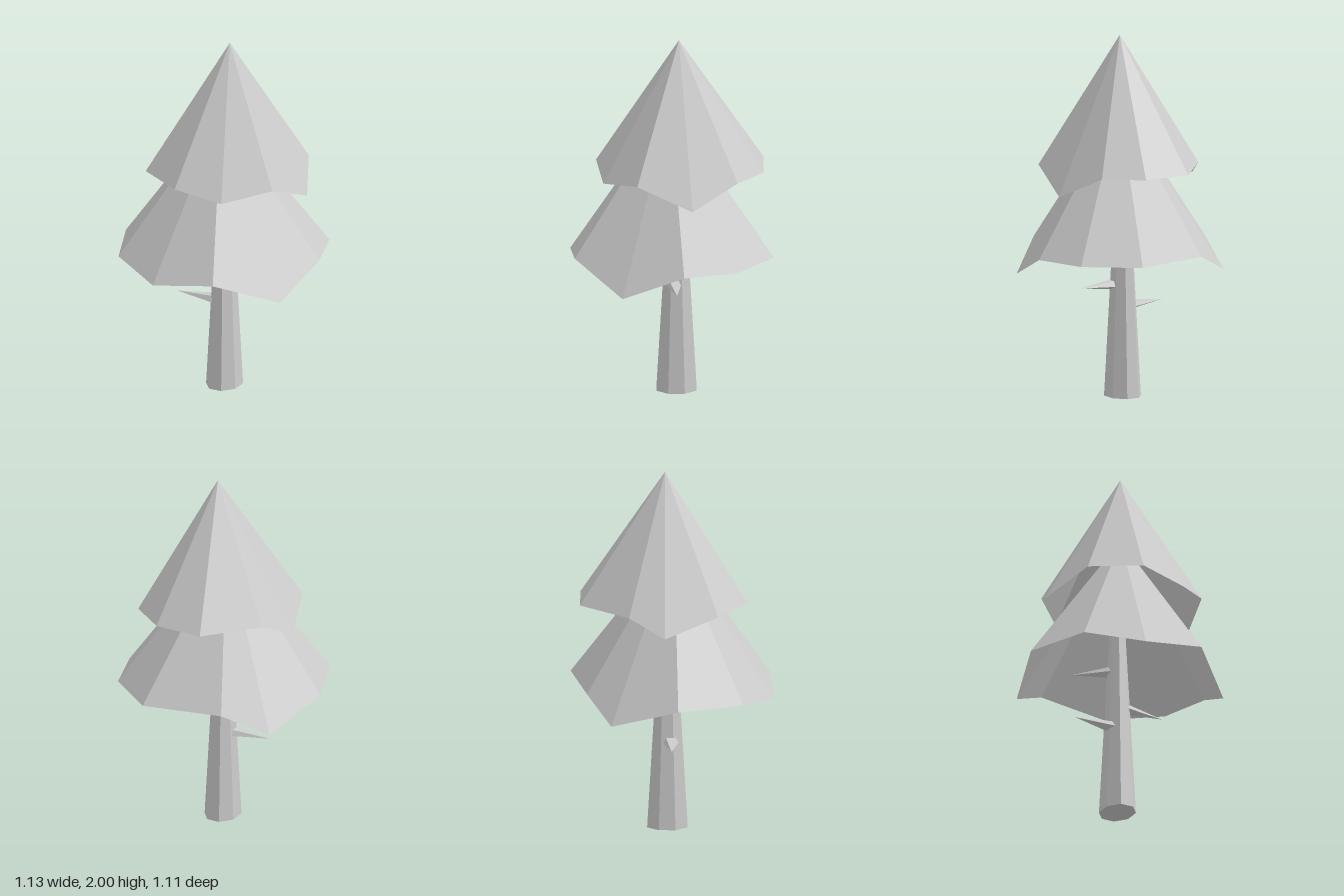
import * as THREE from 'three';

const material = new THREE.MeshStandardMaterial({ color: 0xcccccc, flatShading: true });
const shellMaterial = new THREE.MeshStandardMaterial({
  color: 0xcccccc, flatShading: true, side: THREE.DoubleSide,
});

// Hollow cone of needles: a fan from the tip to an uneven rim of [x, y, z] corners
function foliage(name, tip, rim) {
  const points = [];
  rim.forEach((corner, i) => {
    points.push(...tip, ...rim[(i + 1) % rim.length], ...corner);
  });
  const geometry = new THREE.BufferGeometry();
  geometry.setAttribute('position', new THREE.Float32BufferAttribute(points, 3));
  geometry.computeVertexNormals();
  const mesh = new THREE.Mesh(geometry, shellMaterial);
  mesh.name = name;
  return mesh;
}

// Dead branch stub: a flattened spike from base to tip
function branch(name, base, tip) {
  const from = new THREE.Vector3(...base);
  const direction = new THREE.Vector3(...tip).sub(from);
  const length = direction.length();
  const geometry = new THREE.ConeGeometry(0.03, length, 5);
  geometry.translate(0, length / 2, 0);
  geometry.rotateX(Math.PI / 2);
  geometry.scale(1.6, 1, 1);
  const mesh = new THREE.Mesh(geometry, material);
  mesh.name = name;
  mesh.position.copy(from);
  mesh.lookAt(new THREE.Vector3(...tip));
  return mesh;
}

export function createModel() {
  const tree = new THREE.Group();
  tree.name = 'pineTree';

  // Tapered eight-sided trunk, a little deeper than wide
  const trunkGeometry = new THREE.CylinderGeometry(0.016, 0.097, 1.58, 8, 1, false, Math.PI / 8);
  trunkGeometry.scale(1, 1, 1.22);
  const trunk = new THREE.Mesh(trunkGeometry, material);
  trunk.name = 'trunk';
  trunk.position.set(0.005, 0.79, -0.027);
  tree.add(trunk);

  // Branch stubs
  tree.add(
    branch('leftBranch', [0.03, 0.617, -0.01], [0.28, 0.62, -0.03]),
    branch('rightBranch', [-0.03, 0.495, -0.01], [-0.27, 0.5, 0]),
    branch('backBranch', [-0.02, 0.84, -0.05], [-0.19, 0.85, -0.2]),
  );

  // Lower tier of foliage
  tree.add(foliage('lowerFoliage', [0.005, 1.61, 0.01], [
    [0.205, 0.815, -0.555], [0.475, 0.815, -0.355], [0.565, 0.815, -0.07],
    [0.5, 0.675, 0.265], [0.225, 0.815, 0.525], [-0.13, 0.76, 0.55],
    [-0.425, 0.815, 0.39], [-0.565, 0.815, 0.04], [-0.455, 0.7, -0.325],
    [-0.23, 0.815, -0.46],
  ]));

  // Upper tier of foliage
  tree.add(foliage('upperFoliage', [0.03, 2, -0.04], [
    [-0.12, 1.285, -0.5], [0.15, 1.285, -0.5], [0.345, 1.285, -0.36],
    [0.465, 1.16, -0.115], [0.41, 1.285, 0.185], [0.195, 1.235, 0.37],
    [-0.07, 1.285, 0.41], [-0.33, 1.285, 0.255], [-0.435, 1.19, -0.035],
    [-0.355, 1.285, -0.23],
  ]));

  return tree;
}
